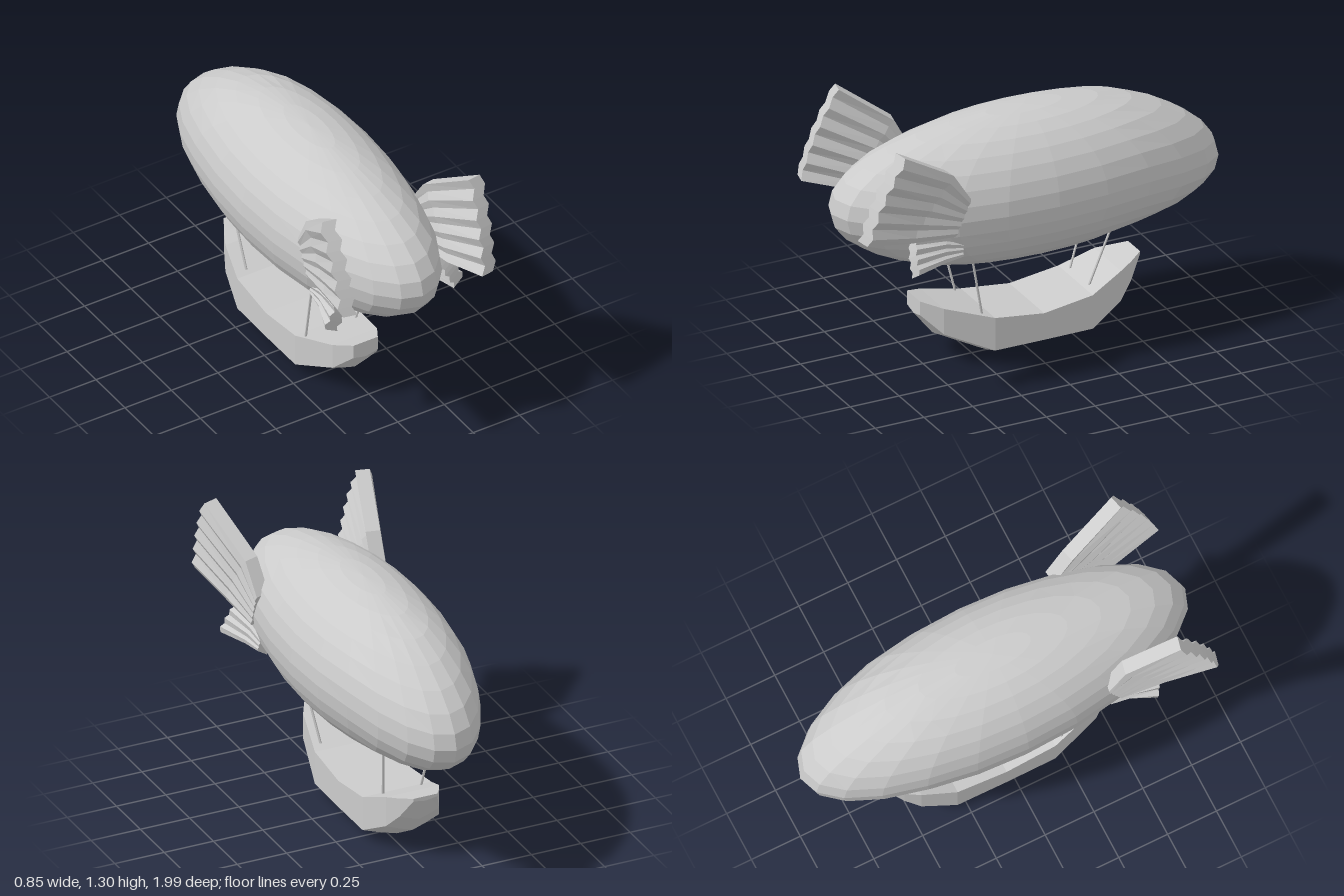
import * as THREE from 'three';

const material = new THREE.MeshStandardMaterial({ color: 0xcccccc, flatShading: true });
const V = (x, y, z) => new THREE.Vector3(x, y, z);

function add(parent, geometry, name) {
  const mesh = new THREE.Mesh(geometry, material);
  mesh.name = name;
  parent.add(mesh);
  return mesh;
}

// Closed solid through equal-length loops; each end is closed by strips across the loop.
function loft(loops) {
  const L = loops[0].length, tris = [];
  const quad = (a, b, c, d) => tris.push([a, b, c], [a, c, d]);
  for (let s = 0; s < loops.length - 1; s++)
    for (let j = 0; j < L; j++) {
      const k = (j + 1) % L;
      quad(loops[s][j], loops[s][k], loops[s + 1][k], loops[s + 1][j]);
    }
  const first = loops[0], last = loops[loops.length - 1];
  for (let j = 0; j < L / 2 - 1; j++) {
    quad(first[L - 1 - j], first[L - 2 - j], first[j + 1], first[j]);
    quad(last[j], last[j + 1], last[L - 2 - j], last[L - 1 - j]);
  }
  // Faces turn outward whichever way the loops run
  let volume = 0;
  for (const [a, b, c] of tris) volume += a.dot(b.clone().cross(c));
  const points = tris.flatMap(([a, b, c]) => (volume > 0 ? [a, b, c] : [a, c, b]));
  const geometry = new THREE.BufferGeometry().setFromPoints(points);
  geometry.computeVertexNormals();
  return geometry;
}

// Pleated fan: stations run root to tip, each [inner top edge, inner bottom edge, pleat depth]
function pleatedFin(stations, thickness, pleats, bulge) {
  const n = pleats * 2;
  const across = thickness.clone().normalize();
  return loft(stations.map(([top, bottom, depth], s) => {
    const inner = [], outer = [];
    for (let i = 0; i <= n; i++) {
      const t = i / n;
      const p = top.clone().lerp(bottom, t);
      p.addScaledVector(across, i % 2 ? depth : 0);
      p.z += (s / (stations.length - 1)) * bulge * Math.sin(Math.PI * t);
      inner.push(p);
      outer.unshift(p.clone().add(thickness));
    }
    return [...inner, ...outer];
  }));
}

export function createModel() {
  const model = new THREE.Group();
  model.name = 'airship';

  // Balloon: stretched sphere with a drooping rear and slightly raised front
  const balloon = new THREE.SphereGeometry(1, 24, 16);
  balloon.scale(0.367, 0.367, 0.985);
  balloon.translate(0, 0.842, -0.015);
  const pos = balloon.attributes.position;
  for (let i = 0; i < pos.count; i++) {
    const z = pos.getZ(i);
    const rear = Math.max(0, (-z - 0.45) / 0.55), front = Math.max(0, (z - 0.45) / 0.5);
    pos.setY(i, pos.getY(i) - 0.07 * rear ** 1.3 + 0.02 * front);
  }
  balloon.computeVertexNormals();
  add(model, balloon, 'balloon');

  // Large side fins
  add(model, pleatedFin([
    [V(0.26, 0.965, 0.435), V(0.25, 0.785, 0.51), 0.008],
    [V(0.272, 1.11, 0.53), V(0.265, 0.81, 0.75), 0.014],
    [V(0.342, 1.29, 0.815), V(0.305, 0.865, 0.99), 0.022],
  ], V(0.067, -0.005, -0.015), 5, 0.02), 'leftLargeFin');
  add(model, pleatedFin([
    [V(-0.26, 0.97, 0.43), V(-0.25, 0.785, 0.5), 0.008],
    [V(-0.268, 1.12, 0.51), V(-0.28, 0.81, 0.72), 0.014],
    [V(-0.335, 1.303, 0.76), V(-0.34, 0.88, 0.95), 0.022],
  ], V(-0.067, 0, -0.015), 5, 0.02), 'rightLargeFin');

  // Small lower fins
  add(model, pleatedFin([
    [V(0.235, 0.71, 0.45), V(0.255, 0.63, 0.46), 0.006],
    [V(0.235, 0.755, 0.53), V(0.27, 0.625, 0.56), 0.01],
    [V(0.235, 0.785, 0.69), V(0.32, 0.62, 0.72), 0.016],
  ], V(0.052, 0.035, -0.01), 4, 0.01), 'leftSmallFin');
  add(model, pleatedFin([
    [V(-0.225, 0.7, 0.45), V(-0.22, 0.62, 0.46), 0.006],
    [V(-0.215, 0.745, 0.53), V(-0.23, 0.605, 0.55), 0.01],
    [V(-0.205, 0.785, 0.7), V(-0.275, 0.58, 0.67), 0.016],
  ], V(-0.058, 0.025, -0.01), 4, 0.01), 'rightSmallFin');

  // Gondola hull: [z, half width, rim height, chine height, keel height]
  const cx = -0.035;
  const hull = [
    [0.53, 0.065, 0.335, 0.265, 0.25],
    [0.435, 0.12, 0.3, 0.17, 0.13],
    [0.2, 0.174, 0.225, 0.06, 0.003],
    [-0.05, 0.176, 0.195, 0.06, 0],
    [-0.3, 0.174, 0.23, 0.06, 0.003],
    [-0.465, 0.135, 0.3, 0.15, 0.1],
    [-0.535, 0.1, 0.318, 0.225, 0.19],
    [-0.6, 0.06, 0.338, 0.325, 0.315],
  ].map(([z, w, rim, chine, keel]) => {
    const low = keel + (chine - keel) * 0.45;
    return [[-w, rim], [-w, chine], [-w * 0.5, low], [0, keel], [w * 0.5, low], [w, chine], [w, rim]]
      .map(([x, y]) => V(cx + x, y, z));
  });
  add(model, loft(hull), 'gondola');

  // Suspension ropes from balloon to gondola rim
  const ropes = [
    [V(-0.197, 0.58, 0.325), V(-0.178, 0.2, 0.235)],
    [V(0.145, 0.58, 0.325), V(0.083, 0.2, 0.235)],
    [V(-0.161, 0.58, -0.435), V(-0.142, 0.2, -0.315)],
    [V(0.098, 0.58, -0.435), V(0.043, 0.2, -0.315)],
  ];
  for (const [a, b] of ropes) {
    const dir = a.clone().sub(b);
    const rope = add(model, new THREE.CylinderGeometry(0.006, 0.006, dir.length(), 6), 'rope');
    rope.position.copy(a).add(b).multiplyScalar(0.5);
    rope.quaternion.setFromUnitVectors(V(0, 1, 0), dir.normalize());
  }
  return model;
}
